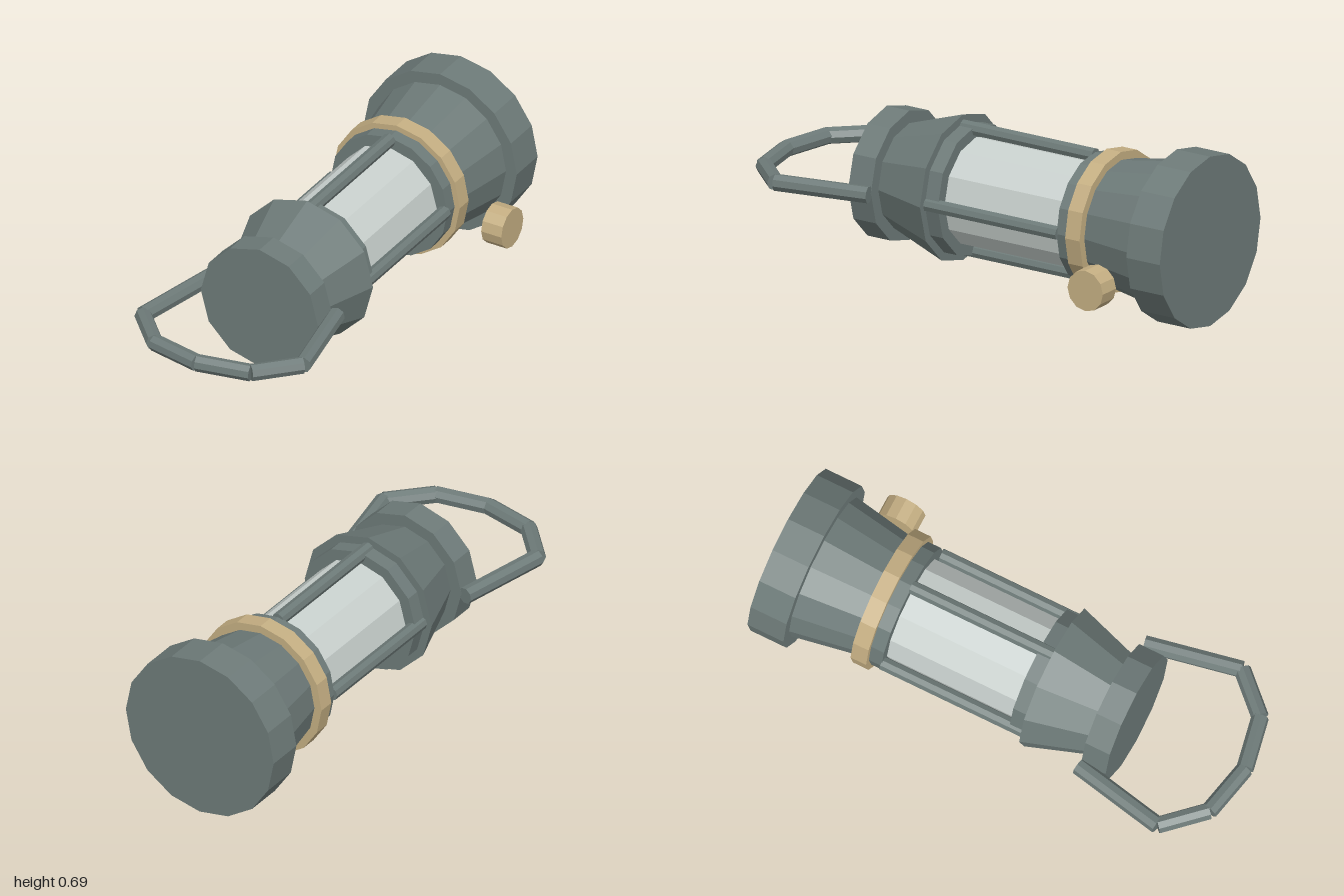
import * as THREE from 'three';

export function createModel() {
  const group = new THREE.Group();
  group.name = 'lantern';
  const mat = (name, color) => {
    const m = new THREE.MeshStandardMaterial({ color, flatShading: true });
    m.name = name;
    return m;
  };
  const metal = mat('grey metal', 0x6d7a78);
  const brass = mat('brass', 0xc4ae82);
  const glass = mat('pale glass', 0xc8d0cd);

  // The lantern lies along z, on this axis
  const CX = -0.01, CY = 0.345;

  const add = (name, geometry, material) => {
    const mesh = new THREE.Mesh(geometry, material);
    mesh.name = name;
    group.add(mesh);
    return mesh;
  };

  // Round section between two z positions
  const section = (name, z0, z1, r0, r1, sides, material) => {
    const g = new THREE.CylinderGeometry(r1, r0, z1 - z0, sides).rotateX(Math.PI / 2);
    add(name, g, material).position.set(CX, CY, (z0 + z1) / 2);
  };

  // Straight bar between two points
  const bar = (name, a, b, r) => {
    const dir = b.clone().sub(a);
    const mesh = add(name, new THREE.CylinderGeometry(r, r, dir.length(), 8), metal);
    mesh.position.copy(a).add(b).multiplyScalar(0.5);
    mesh.quaternion.setFromUnitVectors(new THREE.Vector3(0, 1, 0), dir.normalize());
  };

  // Base end
  section('base', -1, -0.845, 0.343, 0.343, 16, metal);
  section('fuelTank', -0.845, -0.58, 0.295, 0.249, 16, metal);
  section('brassBand', -0.587, -0.52, 0.283, 0.283, 16, brass);
  section('lowerCollar', -0.52, -0.465, 0.26, 0.26, 16, metal);

  // Glass and top end
  section('glassChimney', -0.465, 0.085, 0.215, 0.215, 12, glass);
  section('upperCollar', 0.085, 0.145, 0.262, 0.262, 12, metal);
  section('hood', 0.145, 0.4, 0.295, 0.21, 12, metal);
  section('cap', 0.395, 0.5, 0.262, 0.262, 12, metal);

  // Guard rods around the glass
  for (let i = 0; i < 4; i++) {
    const a = i * Math.PI / 2;
    const x = CX + 0.247 * Math.cos(a), y = CY + 0.247 * Math.sin(a);
    bar('guardRod', new THREE.Vector3(x, y, -0.468), new THREE.Vector3(x, y, 0.144), 0.028);
  }

  // Carrying handle, mirrored about the axis
  const path = [[0.28, 0.392], [0.357, 0.772], [0.215, 0.922], [0, 0.966]];
  for (const s of [-1, 1]) {
    const pts = path.map(([x, z]) => new THREE.Vector3(CX + s * x, CY, z));
    for (let i = 0; i < 3; i++) bar('handleBar', pts[i], pts[i + 1], 0.034);
  }

  // Wick knob on the side
  add('wickKnob', new THREE.CylinderGeometry(0.082, 0.082, 0.09, 12).rotateZ(Math.PI / 2), brass)
    .position.set(0.355, 0.202, -0.7);

  return group;
}
